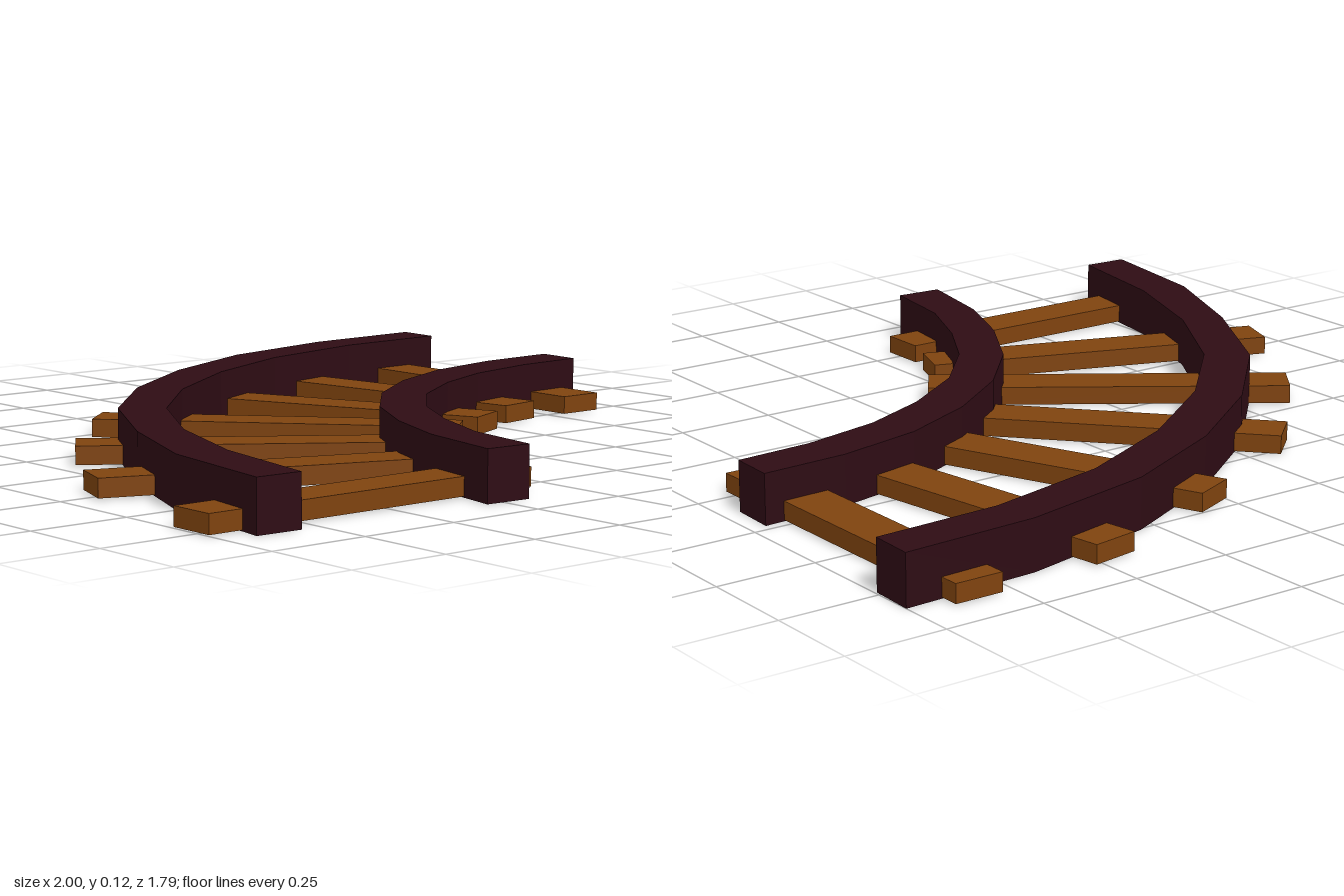
import * as THREE from 'three';

const railMaterial = new THREE.MeshStandardMaterial({ color: 0x2e0c14, flatShading: true });
const tieMaterial = new THREE.MeshStandardMaterial({ color: 0x7f430f, flatShading: true });

// Bent rail: plan outline given as [x, z] along both edges, extruded upward
function makeRail(name, outerEdge, innerEdge) {
  const outline = [...outerEdge, ...[...innerEdge].reverse()];
  const shape = new THREE.Shape(outline.map(([x, z]) => new THREE.Vector2(x, -z)));
  const geometry = new THREE.ExtrudeGeometry(shape, { depth: 0.125, bevelEnabled: false });
  geometry.rotateX(-Math.PI / 2);
  const rail = new THREE.Mesh(geometry, railMaterial);
  rail.name = name;
  return rail;
}

export function createModel() {
  const group = new THREE.Group();
  group.name = 'curvedTrack';

  // Rails
  group.add(makeRail('outerRail',
    [[-0.92, 0.85], [-0.866, 0.5], [-0.738, 0.184], [-0.556, -0.142], [-0.305, -0.404],
      [-0.02, -0.607], [0.294, -0.757], [0.652, -0.837], [1, -0.853]],
    [[-0.802, 0.855], [-0.745, 0.53], [-0.636, 0.227], [-0.465, -0.067], [-0.235, -0.307],
      [0.043, -0.505], [0.337, -0.644], [0.668, -0.722], [0.995, -0.735]]));
  group.add(makeRail('innerRail',
    [[-0.296, 0.887], [-0.251, 0.65], [-0.171, 0.447], [-0.053, 0.243], [0.107, 0.067],
      [0.3, -0.072], [0.508, -0.168], [0.733, -0.217], [0.957, -0.227]],
    [[-0.176, 0.895], [-0.144, 0.682], [-0.064, 0.489], [0.037, 0.313], [0.182, 0.152],
      [0.364, 0.03], [0.545, -0.05], [0.754, -0.096], [0.952, -0.107]]));

  // Ties fanned under the rails: centre x, centre z, angle in degrees
  const tieGeometry = new THREE.BoxGeometry(0.93, 0.046, 0.122);
  const ties = [
    [-0.535, 0.73, 0], [-0.463, 0.384, 19.6], [-0.283, 0.099, 35.6], [-0.059, -0.144, 48.4],
    [0.234, -0.301, 67.4], [0.535, -0.417, 80.7], [0.845, -0.435, 90],
  ];
  ties.forEach(([x, z, angle], i) => {
    const tie = new THREE.Mesh(tieGeometry, tieMaterial);
    tie.name = `tie${i + 1}`;
    tie.position.set(x, 0.026, z);
    tie.rotation.y = -THREE.MathUtils.degToRad(angle);
    group.add(tie);
  });

  return group;
}
